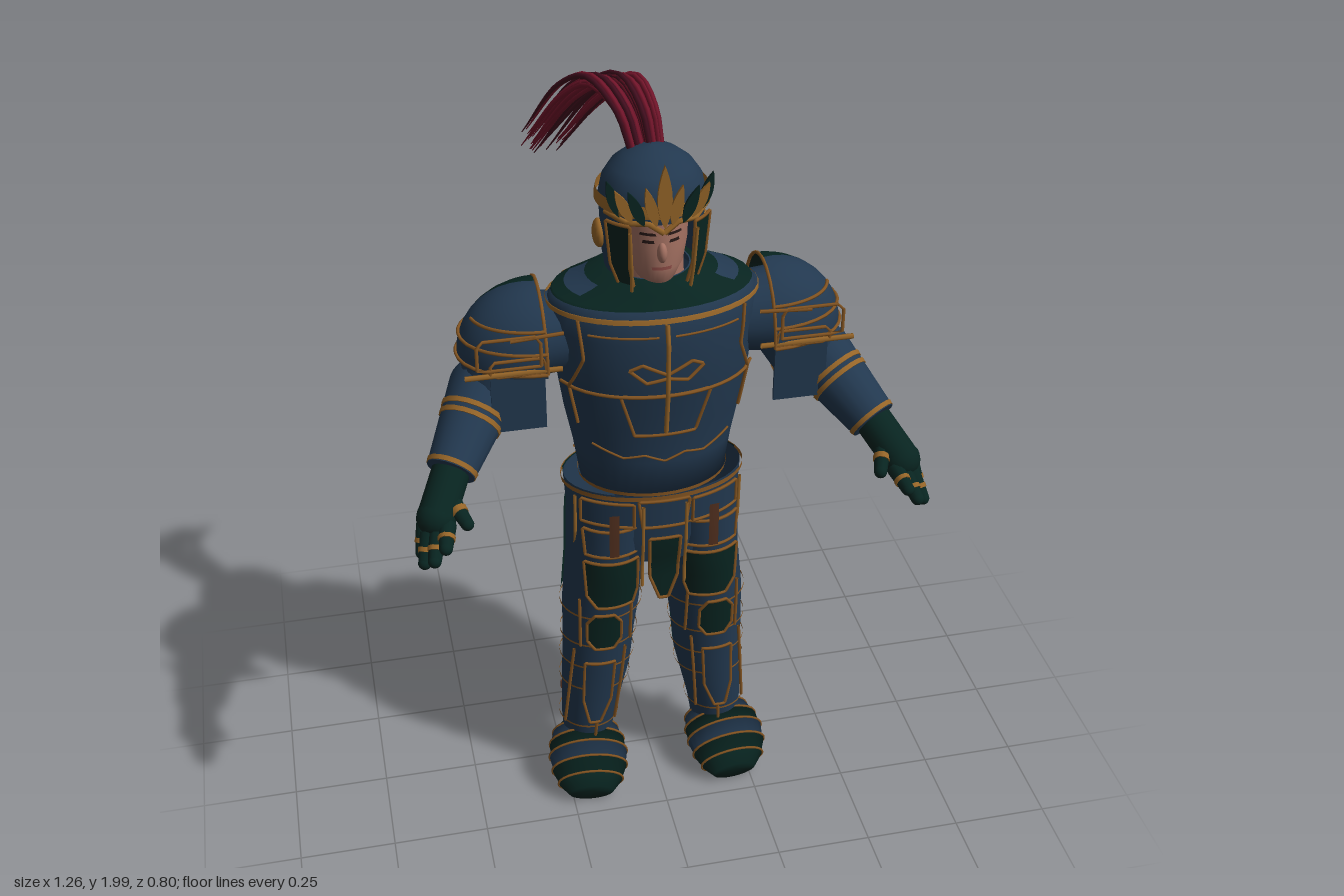
import * as THREE from 'three';

const V = (x, y, z) => new THREE.Vector3(x, y, z);
const material = (name, color) => {
  const m = new THREE.MeshStandardMaterial({ color, side: THREE.DoubleSide });
  m.name = name;
  return m;
};

export function createModel() {
  const model = new THREE.Group();
  const blue = material('steelBlue', 0x22384f), green = material('darkGreen', 0x082420);
  const gold = material('gold', 0x966528), trim = material('bronzeTrim', 0x865622);
  const brown = material('strapBrown', 0x52301f), skin = material('skin', 0xa47162);
  const red = material('plumeRed', 0x74152b), wine = material('plumeWine', 0x420d1e);
  const dark = material('eyeDark', 0x2a1a18), lip = material('lip', 0x8a4a44);
  const { PI } = Math;

  const add = (parent, name, geo, mat) => {
    const m = new THREE.Mesh(geo, mat);
    m.name = name;
    parent.add(m);
    return m;
  };

  // Surfaces are stacks of ellipses [y, cx, cz, rx, rz]; angle 0 faces front, PI/2 the left.
  const at = (rows, y) => {
    let i = 0;
    while (i < rows.length - 2 && y > rows[i + 1][0]) i++;
    const a = rows[i], b = rows[i + 1];
    const t = THREE.MathUtils.clamp((y - a[0]) / (b[0] - a[0]), 0, 1);
    return a.map((v, k) => v + (b[k] - v) * t);
  };
  const on = (rows, a, y, off = 0) => {
    const [, cx, cz, rx, rz] = at(rows, y);
    return V(cx + (rx + off) * Math.sin(a), y, cz + (rz + off) * Math.cos(a));
  };
  const angleAt = (rows, x, y, off, back) => {
    const [, cx, , rx] = at(rows, y);
    const a = Math.asin(THREE.MathUtils.clamp((x - cx) / (rx + off), -1, 1));
    return back ? PI - a : a;
  };
  const grid = (pts) => {
    const w = pts[0].length, idx = [];
    for (let i = 0; i < pts.length - 1; i++) for (let j = 0; j < w - 1; j++) {
      const p = i * w + j;
      idx.push(p, p + 1, p + w + 1, p, p + w + 1, p + w);
    }
    const g = new THREE.BufferGeometry().setFromPoints(pts.flat());
    g.setIndex(idx);
    g.computeVertexNormals();
    return g;
  };
  const patch = (parent, name, rows, mat, { a0 = -PI, a1 = PI, y0 = rows[0][0], y1 = rows.at(-1)[0], off = 0 } = {}) => {
    const ys = [y0, ...rows.map((r) => r[0]).filter((y) => y > y0 && y < y1), y1];
    const n = Math.max(6, Math.ceil((a1 - a0) * 6));
    return add(parent, name, grid(ys.map((y) =>
      Array.from({ length: n + 1 }, (_, j) => on(rows, a0 + (a1 - a0) * j / n, y, off)))), mat);
  };
  const wire = (parent, name, pts, r = 0.0045, mat = trim) => {
    const path = new THREE.CurvePath();
    pts.slice(1).forEach((p, i) => path.add(new THREE.LineCurve3(pts[i], p)));
    return add(parent, name, new THREE.TubeGeometry(path, pts.length * 3, r, 5), mat);
  };
  const line = (parent, name, rows, xy, { off = 0.007, back = false, r = 0.0045, mat = trim } = {}) => {
    const pts = [];
    xy.forEach(([x, y], i) => {
      const [px, py] = xy[Math.max(0, i - 1)], n = i ? Math.ceil(Math.hypot(x - px, y - py) / 0.025) : 1;
      for (let k = 1; k <= n; k++) {
        const qx = px + (x - px) * k / n, qy = py + (y - py) * k / n;
        pts.push(on(rows, angleAt(rows, qx, qy, off, back), qy, off));
      }
    });
    return wire(parent, name, pts, r, mat);
  };
  // Thin plate lying on a surface, outline [y, x0, x1] from bottom to top, with a metal edge.
  const plate = (parent, name, rows, outline, mat, { off = 0.006, back = false, edge = true } = {}) => {
    const pts = [];
    outline.slice(1).forEach((b, i) => {
      const a = outline[i];
      for (let k = i ? 1 : 0; k <= 4; k++) {
        const [y, x0, x1] = a.map((v, q) => v + (b[q] - v) * k / 4);
        pts.push(Array.from({ length: 9 }, (_, j) => {
          const u = back ? 1 - j / 8 : j / 8;
          return on(rows, angleAt(rows, x0 + (x1 - x0) * u, y, off, back), y, off);
        }));
      }
    });
    add(parent, name, grid(pts), mat);
    if (edge) wire(parent, name + 'Edge', [...pts[0], ...pts.slice(1).map((r) => r[8]),
      ...pts.at(-1).slice(0, 8).reverse(), ...pts.slice(0, -1).map((r) => r[0]).reverse()]);
  };
  const limb = (parent, name, a, b, ra, rb, mat, seg = 18) => {
    const m = add(parent, name, new THREE.CylinderGeometry(rb, ra, a.distanceTo(b), seg), mat);
    m.position.copy(a).lerp(b, 0.5);
    m.quaternion.setFromUnitVectors(V(0, 1, 0), b.clone().sub(a).normalize());
  };
  const ball = (parent, name, p, s, mat) => {
    const m = add(parent, name, new THREE.SphereGeometry(1, 16, 12), mat);
    m.position.copy(p);
    m.scale.set(...s);
  };
  const mirrored = (name, build) => {
    const left = new THREE.Group();
    build(left);
    const right = left.clone();
    left.name = 'left' + name;
    right.name = 'right' + name;
    right.scale.x = -1;
    model.add(left, right);
  };

  // Torso
  const torso = [[0.995, 0, 0.045, 0.03, 0.03], [1.0, 0, 0.045, 0.185, 0.14], [1.1, 0, 0.045, 0.2, 0.145], [1.2, 0, 0.045, 0.22, 0.152],
    [1.32, 0, 0.05, 0.238, 0.165], [1.45, 0, 0.05, 0.25, 0.167], [1.51, 0, 0.045, 0.252, 0.155], [1.53, 0, 0.04, 0.235, 0.142],
    [1.55, 0, 0.037, 0.17, 0.125], [1.57, 0, 0.035, 0.125, 0.11], [1.575, 0, 0.035, 0.09, 0.09]];
  patch(model, 'cuirass', torso, blue);
  patch(model, 'collar', torso, green, { y0: 1.525, off: 0.004 });
  patch(model, 'chestBand', torso, gold, { y0: 1.5, y1: 1.512, off: 0.007 });
  patch(model, 'waistBand', torso, trim, { y0: 1.0, y1: 1.01, off: 0.004 });
  plate(model, 'backPlate', torso, [[1.07, -0.12, 0.12], [1.25, -0.17, 0.17], [1.36, -0.15, 0.15], [1.52, -0.2, 0.2]], green, { back: true });
  for (const x of [-0.05, 0.05]) line(model, 'backSeam', torso, [[x, 1.1], [x, 1.3]], { back: true, off: 0.008, r: 0.003 });
  line(model, 'shoulderBladeSeam', torso, [[-0.19, 1.47], [-0.1, 1.455], [0.1, 1.455], [0.19, 1.47]], { back: true, off: 0.01 });
  line(model, 'lowerBackSeam', torso, [[-0.19, 1.05], [0.19, 1.05]], { back: true });
  plate(model, 'bellyPlate', torso, [[1.19, -0.075, 0.075], [1.31, -0.11, 0.11]], blue);
  line(model, 'chestSeam', torso, [[-0.235, 1.31], [0.235, 1.31]]);
  line(model, 'breastRidge', torso, [[0, 1.2], [0, 1.5]], { r: 0.006, off: 0.01, mat: gold });
  line(model, 'chestOrnament', torso, [[-0.09, 1.385], [-0.06, 1.4], [0, 1.37], [0.06, 1.4], [0.09, 1.385], [0.05, 1.35], [0, 1.36], [-0.05, 1.35], [-0.09, 1.385]]);
  line(model, 'bellySeam', torso, [[-0.17, 1.15], [-0.1, 1.12], [-0.05, 1.13], [0, 1.11], [0.05, 1.13], [0.1, 1.12], [0.17, 1.15]], { r: 0.003 });
  for (const s of [-1, 1]) {
    line(model, 'chestSideSeam', torso, [[s * 0.2, 1.5], [s * 0.19, 1.4], [s * 0.22, 1.31], [s * 0.2, 1.2]]);
    line(model, 'upperChestFrame', torso, [[s * 0.02, 1.47], [s * 0.18, 1.47]], { r: 0.003 });
    patch(model, 'collarSidePlate', torso, blue, { y0: 1.54, y1: 1.558, a0: s * PI / 2 - 0.5, a1: s * PI / 2 + 0.5, off: 0.008 });
  }

  // Hips, legs and skirt plates
  const hips = [[0.78, 0, 0.05, 0.205, 0.115], [0.86, 0, 0.05, 0.22, 0.13], [1.0, 0, 0.045, 0.228, 0.14]];
  patch(model, 'hipArmour', hips, blue);
  patch(model, 'hipBack', hips, green, { a0: PI * 0.58, a1: PI * 1.42, off: 0.004 });
  patch(model, 'belt', hips, trim, { y0: 0.987, off: 0.007 });
  plate(model, 'centreTasset', hips, [[0.68, -0.012, 0.012], [0.75, -0.036, 0.036], [0.88, -0.04, 0.04]], green, { off: 0.025 });
  plate(model, 'beltPlate', hips, [[0.91, -0.055, 0.055], [0.99, -0.065, 0.065]], blue, { off: 0.015 });
  const leg = [[0.12, 0.182, 0.04, 0.066, 0.066], [0.2, 0.178, 0.04, 0.074, 0.077], [0.38, 0.155, 0.045, 0.092, 0.085],
    [0.5, 0.148, 0.05, 0.096, 0.09], [0.6, 0.14, 0.05, 0.102, 0.1], [0.75, 0.127, 0.045, 0.1, 0.122], [0.9, 0.117, 0.045, 0.105, 0.128]];
  mirrored('Skirt', (g) => {
    plate(g, 'backTasset', leg, [[0.64, 0.06, 0.18], [0.8, 0.04, 0.19], [0.97, 0.035, 0.19]], green, { off: 0.016, back: true });
    plate(g, 'backPouch', leg, [[0.83, 0.08, 0.14], [0.95, 0.08, 0.14]], blue, { off: 0.024, back: true });
    plate(g, 'frontTasset', leg, [[0.65, 0.075, 0.17], [0.69, 0.062, 0.195], [0.8, 0.062, 0.2]], green, { off: 0.016 });
    plate(g, 'upperTasset', leg, [[0.82, 0.055, 0.195], [0.9, 0.05, 0.2]], blue, { off: 0.012 });
    plate(g, 'hipPlate', hips, [[0.91, 0.075, 0.2], [0.98, 0.075, 0.2]], blue, { off: 0.012 });
    plate(g, 'frontStrap', leg, [[0.83, 0.115, 0.14], [0.96, 0.115, 0.14]], brown, { off: 0.024, edge: false });
    line(g, 'tassetRod', hips, [[0.212, 0.64], [0.212, 0.98]], { off: 0.012, mat: gold });
    line(g, 'innerRod', hips, [[0.055, 0.72], [0.055, 0.98]], { off: 0.022, mat: gold });
  });

  // Legs and stepped shoes
  mirrored('Leg', (g) => {
    patch(g, 'legArmour', leg, blue);
    patch(g, 'thighBack', leg, green, { a0: PI * 0.57, a1: PI * 1.45, y0: 0.62, off: 0.005 });
    patch(g, 'shinBack', leg, green, { a0: PI * 0.68, a1: PI * 1.36, y0: 0.18, y1: 0.6, off: 0.005 });
    plate(g, 'kneePlate', leg, [[0.5, 0.125, 0.175], [0.53, 0.105, 0.195], [0.59, 0.105, 0.195], [0.62, 0.125, 0.175]], green, { off: 0.014 });
    plate(g, 'shinPlate', leg, [[0.22, 0.16, 0.19], [0.3, 0.13, 0.205], [0.44, 0.12, 0.2]], blue, { off: 0.008 });
    for (const y of [0.2, 0.34, 0.42, 0.5, 0.6]) patch(g, 'legBand', leg, trim, { y0: y, y1: y + 0.006, off: 0.007 });
    line(g, 'shinRidge', leg, [[0.175, 0.14], [0.17, 0.22]]);
    for (const x of [0.09, 0.225]) line(g, 'shinSeam', leg, [[x + 0.025, 0.2], [x, 0.48]]);
    for (const x of [0.075, 0.21]) line(g, 'thighSeam', leg, [[x, 0.5], [x, 0.66]]);
    for (const y of [0.22, 0.42, 0.6]) {
      const [, cx, cz, , rz] = at(leg, y);
      const strap = add(g, 'backStrap', new THREE.BoxGeometry(0.13, 0.024, 0.009), brown);
      strap.position.set(cx, y, cz - rz - 0.009);
    }

    const shoe = new THREE.Group();
    shoe.name = 'shoe';
    const prof = [[-0.1, 0.065, 0.1], [-0.07, 0.088, 0.122], [-0.03, 0.1, 0.135], [0.01, 0.104, 0.137], [0.05, 0.1, 0.122], [0.085, 0.086, 0.095], [0.112, 0.06, 0.062]];
    const ring = ([z, w, h], k) => Array.from({ length: 25 }, (_, j) => {
      const t = -PI / 2 + PI * j / 12;
      return V(-Math.cos(t) * w * k, h / 2 * (1 + Math.sin(t) * k), z);
    });
    prof.slice(1).forEach((b, i) => {
      const a = prof[i], centre = (z) => ring([z, 0, 0.08], 0);
      add(shoe, 'shoePlate', grid([centre(a[0]), ring(a, 1.04), ring(b, 1), centre(b[0])].map((r) => r.reverse())), i === 1 || i === 3 ? blue : green);
      if (i > 0) wire(shoe, 'shoeTrim', ring(a, 1.04).slice(3, 22), 0.0035);
    });
    shoe.position.set(0.194, 0.033, 0.09);
    shoe.rotation.set(0.25, 0.08, 0);
    g.add(shoe);
  });

  // Arms
  mirrored('Arm', (g) => {
    const dome = (name, p0, p1, mat) => {
      const m = add(g, name, new THREE.SphereGeometry(1, 16, 10, p0, p1 - p0, 0, PI * 0.52), mat);
      m.position.set(0.275, 1.375, 0.025);
      m.scale.set(0.197, 0.172, 0.145);
    };
    dome('pauldronFront', PI / 2, PI * 1.13, blue);
    dome('pauldronBack', PI * 1.13, PI * 1.5, green);
    // Trim arcs at an elevation e round the dome, from the front (0) to angle end
    const arc = (name, e, end) => wire(g, name, Array.from({ length: 17 }, (_, i) => {
      const a = end * i / 16, c = Math.cos(e) * 1.015;
      return V(0.275 + 0.197 * c * Math.sin(a), 1.375 + 0.174 * Math.sin(e), 0.025 + 0.145 * c * Math.cos(a));
    }));
    arc('pauldronRim', 0, PI);
    arc('pauldronBand', 0.3, PI);
    arc('pauldronBand', 0.62, PI * 0.45);
    const arch = Array.from({ length: 13 }, (_, i) => V(0.275, 1.375 + 0.172 * Math.sin(PI * i / 12), 0.025 + 0.145 * Math.cos(PI * i / 12)));
    wire(g, 'pauldronArch', arch);
    limb(g, 'shoulderCore', V(0.2, 1.41, 0.03), V(0.3, 1.41, 0.03), 0.095, 0.105, blue);
    limb(g, 'upperArm', V(0.33, 1.42, 0.025), V(0.405, 1.25, 0.05), 0.115, 0.085, blue);
    limb(g, 'upperArmBand', V(0.389, 1.285, 0.045), V(0.394, 1.275, 0.047), 0.094, 0.091, trim);
    ball(g, 'elbow', V(0.412, 1.282, 0.045), [0.088, 0.085, 0.085], blue);
    // Front guard and its metal frames
    const guard = add(g, 'armGuard', new THREE.BoxGeometry(0.13, 0.16, 0.008), blue);
    guard.position.set(0.345, 1.3, 0.15);
    const frame = (x0, x1, y0, y1, z) => wire(g, 'guardFrame', [V(x0, y0, z), V(x1, y0, z), V(x1, y1, z), V(x0, y1, z), V(x0, y0, z)]);
    frame(0.28, 0.41, 1.38, 1.42, 0.166);
    frame(0.29, 0.44, 1.4, 1.48, 0.168);
    wire(g, 'guardBar', [V(0.235, 1.48, 0.165), V(0.36, 1.475, 0.17)], 0.005);
    wire(g, 'guardBar', [V(0.24, 1.385, 0.165), V(0.47, 1.385, 0.165)], 0.007, gold);
    // Forearm and glove
    const elbow = V(0.415, 1.285, 0.05), wrist = V(0.522, 1.165, 0.212);
    limb(g, 'forearm', elbow, wrist, 0.086, 0.06, blue);
    for (const [t, r] of [[0.3, 0.082], [0.4, 0.079], [0.94, 0.064]]) {
      limb(g, 'forearmBand', elbow.clone().lerp(wrist, t), elbow.clone().lerp(wrist, t + 0.05), r, r - 0.002, gold);
    }
    const knuckle = V(0.57, 1.098, 0.295);
    limb(g, 'glove', wrist, knuckle, 0.046, 0.046, green);
    ball(g, 'palm', knuckle, [0.048, 0.046, 0.046], green);
    [[0.548, 1.09, 0.32, 0.56, 1.07, 0.384], [0.572, 1.075, 0.325, 0.588, 1.036, 0.382],
      [0.592, 1.07, 0.315, 0.61, 1.02, 0.362], [0.598, 1.08, 0.29, 0.612, 1.024, 0.325],
      [0.535, 1.13, 0.255, 0.503, 1.1, 0.34]].forEach((f) => {
      const a = V(...f.slice(0, 3)), b = V(...f.slice(3));
      limb(g, 'finger', a, b, 0.022, 0.016, green, 10);
      ball(g, 'fingerTip', b, [0.016, 0.016, 0.016], green);
      limb(g, 'fingerRing', a.clone().lerp(b, 0.5), a.clone().lerp(b, 0.66), 0.0212, 0.0205, gold, 10);
    });
  });

  // Head: face inside an open helmet
  const face = [[1.55, 0, 0.06, 0.035, 0.06], [1.575, 0, 0.06, 0.05, 0.085], [1.61, 0, 0.055, 0.07, 0.096],
    [1.66, 0, 0.05, 0.08, 0.1], [1.72, 0, 0.045, 0.083, 0.105], [1.76, 0, 0.045, 0.08, 0.1]];
  patch(model, 'face', face, skin);
  limb(model, 'neck', V(0, 1.52, 0.03), V(0, 1.6, 0.035), 0.08, 0.075, skin);
  ball(model, 'nose', V(0, 1.655, 0.152), [0.012, 0.025, 0.016], skin);
  plate(model, 'mouth', face, [[1.611, -0.022, 0.022], [1.619, -0.024, 0.024]], lip, { off: 0.003, edge: false });
  for (const s of [-1, 1]) {
    const span = (a, b) => (s > 0 ? [a, b] : [-b, -a]);
    plate(model, 'eye', face, [[1.678, ...span(0.017, 0.044)], [1.686, ...span(0.019, 0.042)]], dark, { off: 0.002, edge: false });
    plate(model, 'eyebrow', face, [[1.698, ...span(0.013, 0.05)], [1.705, ...span(0.016, 0.048)]], dark, { off: 0.003, edge: false });
  }
  const helmet = [[1.54, 0, 0.025, 0.105, 0.105], [1.62, 0, 0.035, 0.118, 0.115], [1.76, 0, 0.042, 0.125, 0.122], [1.8, 0, 0.042, 0.117, 0.114],
    [1.83, 0, 0.037, 0.096, 0.093], [1.853, 0, 0.03, 0.064, 0.06], [1.865, 0, 0.025, 0.03, 0.03], [1.868, 0, 0.025, 0.001, 0.001]];
  patch(model, 'helmetDome', helmet, blue, { y0: 1.73 });
  patch(model, 'helmetSkirt', helmet, blue, { y1: 1.73, a0: 0.85, a1: 2 * PI - 0.85 });
  patch(model, 'helmetBand', helmet, gold, { y0: 1.75, y1: 1.78, off: 0.01 });

  // Pointed leaves of the brow crest
  const leaf = (parent, x, y, w, h, lean, mat, z) => {
    const s = new THREE.Shape();
    s.moveTo(0, 0);
    s.quadraticCurveTo(w, h * 0.4, 0, h);
    s.quadraticCurveTo(-w, h * 0.4, 0, 0);
    const m = add(parent, 'crestLeaf', new THREE.ExtrudeGeometry(s, { depth: 0.008, bevelEnabled: false }), mat);
    m.position.set(x, y, z);
    m.rotation.z = -lean;
  };
  leaf(model, 0, 1.73, 0.034, 0.155, 0, gold, 0.174);
  mirrored('HelmetSide', (g) => {
    [[0.018, 1.735, 0.25, 0.1, 0.17], [0.045, 1.735, 0.4, 0.095, 0.162], [0.07, 1.74, 0.45, 0.09, 0.148], [0.095, 1.745, 0.3, 0.095, 0.125]]
      .forEach(([x, y, lean, h, z], i) => leaf(g, x, y, 0.026, h, lean, i % 2 ? green : gold, z));
    wire(g, 'browTrim', [V(0, 1.715, 0.172), V(0.035, 1.74, 0.167), V(0.08, 1.735, 0.145), V(0.12, 1.745, 0.09)], 0.007, gold);
    // Cheek guard
    plate(g, 'cheekGuard', helmet, [[1.55, 0.06, 0.088], [1.62, 0.074, 0.112], [1.73, 0.076, 0.122]], green, { off: 0.016 });
    line(g, 'cheekRod', helmet, [[0.07, 1.56], [0.078, 1.72]], { off: 0.03, mat: gold });
    ball(g, 'earDisc', V(0.124, 1.66, 0.03), [0.016, 0.036, 0.03], gold);
  });

  // Plume: tapering strands swept back and to the right
  let seed = 7;
  const rnd = () => (seed = (seed * 16807) % 2147483647) / 2147483647;
  const plume = new THREE.Group();
  plume.name = 'plume';
  for (let i = 0; i < 30; i++) {
    const u = rnd() - 0.5, v = rnd() - 0.5, end = 0.9 + rnd() * 0.12;
    const curve = new THREE.CatmullRomCurve3([V(-0.005 + u * 0.08, 1.855, 0.005 + v * 0.02), V(-0.02 + u * 0.1, 1.93 + v * 0.015, -0.025 + v * 0.03),
      V(-0.055 + u * 0.13, 1.978 + v * 0.03, -0.095), V(-0.105 + u * 0.13, 1.925 + v * 0.045, -0.185),
      V((-0.195 + u * 0.12) * end, 1.69 + (1 - end) * 0.7 + v * 0.03, -0.395 * end)]);
    const geo = new THREE.TubeGeometry(curve, 20, 0.008, 5), pos = geo.attributes.position;
    for (let k = 0; k < pos.count; k++) {
      const t = Math.floor(k / 6) / 20, c = curve.getPointAt(t);
      const p = V().fromBufferAttribute(pos, k).lerp(c, 0.85 * t * t);
      pos.setXYZ(k, p.x, p.y, p.z);
    }
    add(plume, 'plumeStrand', geo, i % 3 === 0 ? wine : red);
  }
  model.add(plume);
  return model;
}
